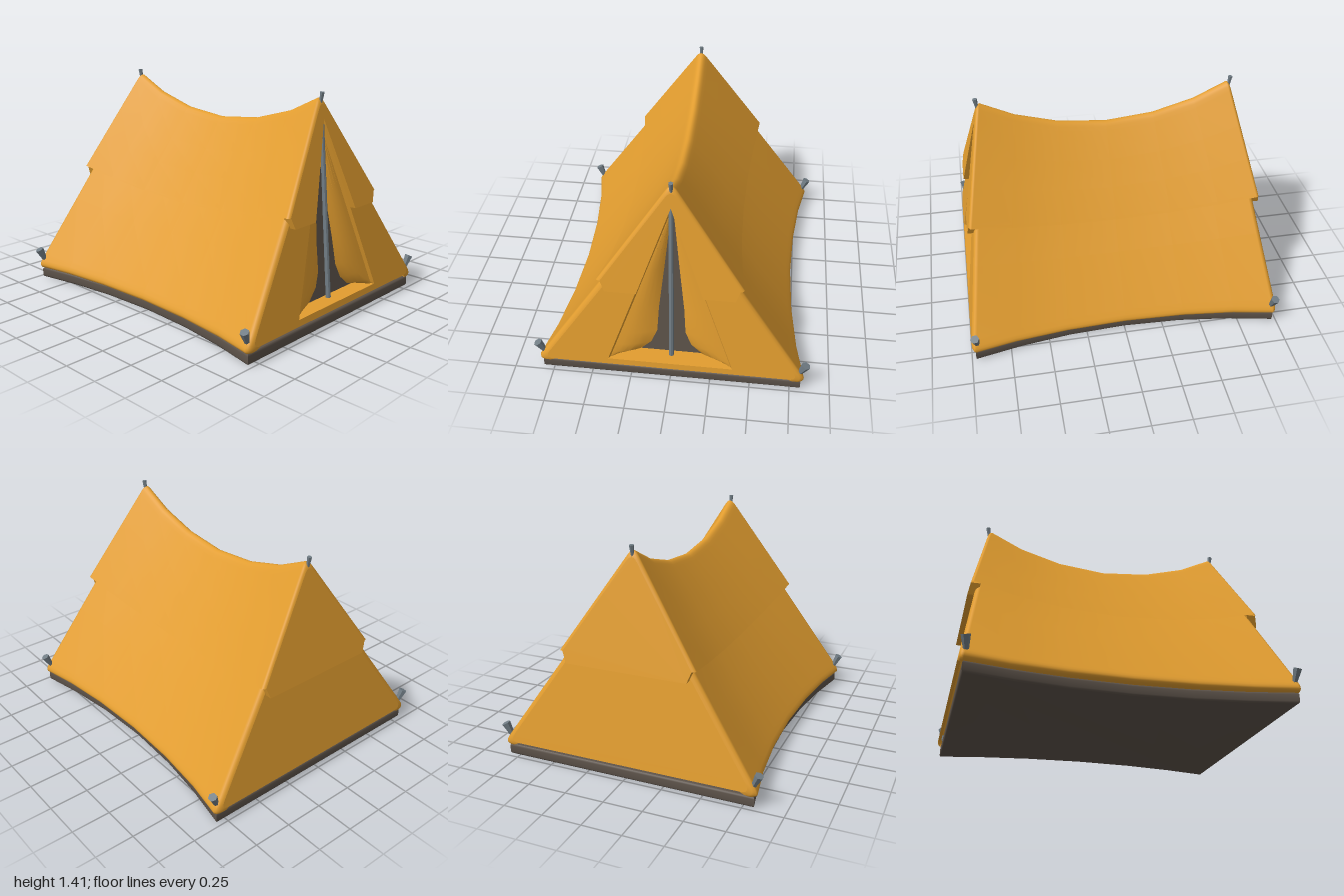
import * as THREE from 'three';
import { toCreasedNormals } from 'three/addons/utils/BufferGeometryUtils.js';

const canvas = new THREE.MeshStandardMaterial({ color: 0xe29d2f, side: THREE.DoubleSide });
const ground = new THREE.MeshStandardMaterial({ color: 0x5c5249, side: THREE.DoubleSide });
const metal = new THREE.MeshStandardMaterial({ color: 0x717d85 });
canvas.name = 'orangeCanvas';
ground.name = 'darkGroundsheet';
metal.name = 'greyMetal';

const STATIONS = [-1, -0.716, -0.383, 0, 0.383, 0.716, 1];
const DOOR = { top: 1.25, bottom: 0.14, half: 0.39 };
const doorX = (y) => DOOR.half * (DOOR.top - y) / (DOOR.top - DOOR.bottom);

// Triangular skins: end size, loss of size at the waist, and leaning ends
const BODY = {
  w: 0.86, y0: 0.07, top: 1.33, dw: 0.1, dy0: 0, dTop: 0.21, r: 0.03, ridge: 0.05,
  endZ: (y) => 1.0 - 0.15 * (y - 0.07),
};
const FLY = {
  w: 0.44, y0: 0.75, top: 1.4, dw: 0.06, dy0: 0.1, dTop: 0.21, r: 0.02, ridge: 0.06, lip: true,
  endZ: (y) => 0.81 + 0.2 * (1.37 - y),
};

function mesh(name, geometry, material) {
  const m = new THREE.Mesh(geometry, material);
  m.name = name;
  return m;
}

// Rounded corner: quadratic curve between points at distance d from corner c
function corner(a, c, b, d, n) {
  const p = c.clone().add(a.clone().sub(c).setLength(d));
  const q = c.clone().add(b.clone().sub(c).setLength(d));
  return new THREE.QuadraticBezierCurve(p, c, q).getPoints(n);
}

// Cross-section at station s, from right hem over the ridge to left hem
function outline(skin, s, inset) {
  const k = 1 - s * s;
  const w = skin.w - skin.dw * k - inset * (skin.lip ? 1.2 : 1.88);
  const y0 = skin.y0 - skin.dy0 * k + (skin.lip ? 0 : inset);
  const top = skin.top - skin.dTop * k - inset * 1.8;
  const R = new THREE.Vector2(w, y0), L = new THREE.Vector2(-w, y0), T = new THREE.Vector2(0, top);
  const right = skin.lip ? [R] : corner(L, R, T, 0.07, 6);
  const ridge = corner(R, T, L, skin.ridge, 6);
  const from = right[right.length - 1];
  for (const t of [0.03, 0.35, 0.65, 0.96]) right.push(from.clone().lerp(ridge[0], t));
  const left = right.map((p) => new THREE.Vector2(-p.x, p.y)).reverse();
  return [...right, ...ridge, ...left];
}

// Lofted skin with rounded end edges
function loft(skin) {
  const rows = [];
  const endRow = (sign, a) => {
    const pts = outline(skin, 1, skin.r * (1 - Math.cos(a)));
    rows.push(pts.map((p) => [p.x, p.y, sign * (skin.endZ(p.y) - skin.r * (1 - Math.sin(a)))]));
  };
  const angles = [0, Math.PI / 6, Math.PI / 3, Math.PI / 2];
  [...angles].reverse().forEach((a) => endRow(-1, a));
  for (const s of STATIONS.slice(1, -1)) {
    const ends = outline(skin, 1, 0);
    rows.push(outline(skin, s, 0).map((p, j) => [p.x, p.y, s * skin.endZ(ends[j].y)]));
  }
  angles.forEach((a) => endRow(1, a));
  return grid(rows);
}

function grid(rows) {
  const n = rows[0].length, index = [];
  for (let i = 0; i < rows.length - 1; i++) {
    for (let j = 0; j < n - 1; j++) {
      const a = i * n + j, b = a + 1, d = a + n, c = d + 1;
      index.push(a, b, c, a, c, d);
    }
  }
  const g = new THREE.BufferGeometry();
  g.setAttribute('position', new THREE.Float32BufferAttribute(rows.flat(2), 3));
  g.setIndex(index);
  g.computeVertexNormals();
  return g;
}

// Flat panel extruded backwards and sheared onto the leaning end
function leaningPanel(shape, depth, endZ) {
  const g = new THREE.ExtrudeGeometry(shape, { depth, bevelEnabled: false });
  const p = g.attributes.position;
  for (let i = 0; i < p.count; i++) p.setZ(i, p.getZ(i) - depth + endZ(p.getY(i)));
  g.computeVertexNormals();
  return g;
}

function bodyEnd(withDoor) {
  const shape = new THREE.Shape(outline(BODY, 1, BODY.r));
  if (withDoor) {
    shape.holes.push(new THREE.Path([
      new THREE.Vector2(-DOOR.half, DOOR.bottom), new THREE.Vector2(0, DOOR.top),
      new THREE.Vector2(DOOR.half, DOOR.bottom)]));
  }
  return leaningPanel(shape, withDoor ? 0.12 : 0.02, BODY.endZ);
}

function flyEnd(withDoor) {
  const y = 0.68, pts = [new THREE.Vector2(0.39, y), ...outline(FLY, 1, FLY.r), new THREE.Vector2(-0.39, y)];
  if (withDoor) {
    pts.push(new THREE.Vector2(-doorX(y), y), new THREE.Vector2(0, DOOR.top), new THREE.Vector2(doorX(y), y));
  }
  return leaningPanel(new THREE.Shape(pts), 0.06, FLY.endZ);
}

// Door flap: recessed at the seam, curling inwards to the opening
function doorFlap(side) {
  const edge = [[0.14, 0.34], [0.16, 0.27], [0.18, 0.19], [0.24, 0.125], [0.33, 0.088],
    [0.5, 0.078], [0.8, 0.045], [1.2, 0.004]];
  const rows = edge.map(([y, inner]) => {
    const seam = doorX(y), start = seam - 0.012, z = BODY.endZ(y);
    const row = [[side * seam, y, z]];
    for (let k = 0; k <= 5; k++) {
      const t = k / 5;
      row.push([side * THREE.MathUtils.lerp(start, inner, t), y, z - 0.02 - 0.05 * t * t]);
    }
    return side > 0 ? row.reverse() : row;
  });
  return toCreasedNormals(grid(rows.reverse()), 0.7);
}

// Tapered rod between two points
function rod(name, a, b, rBottom, rTop, sides) {
  const from = new THREE.Vector3(...a), to = new THREE.Vector3(...b), dir = to.clone().sub(from);
  const m = mesh(name, toCreasedNormals(new THREE.CylinderGeometry(rTop, rBottom, dir.length(), sides), 0.6), metal);
  m.position.copy(from).add(to).multiplyScalar(0.5);
  m.quaternion.setFromUnitVectors(new THREE.Vector3(0, 1, 0), dir.normalize());
  return m;
}

function groundsheet() {
  const bevel = 0.015;
  const side = STATIONS.map((s) => new THREE.Vector2(0.7 + 0.115 * s * s - bevel, s * (0.975 - bevel)));
  const other = side.map((p) => new THREE.Vector2(-p.x, p.y)).reverse();
  const g = new THREE.ExtrudeGeometry(new THREE.Shape([...side, ...other]), {
    depth: 0.04, bevelThickness: bevel, bevelSize: bevel, bevelSegments: 3,
  });
  g.rotateX(-Math.PI / 2);
  g.translate(0, bevel, 0);
  return toCreasedNormals(g, 0.7);
}

export function createModel() {
  const tent = new THREE.Group();
  tent.name = 'tent';
  tent.add(mesh('groundsheet', groundsheet(), ground));
  tent.add(mesh('tentBody', loft(BODY), canvas));
  tent.add(mesh('flysheet', loft(FLY), canvas));

  // End walls, the front one with the doorway
  for (const front of [true, false]) {
    const name = front ? 'front' : 'back';
    const wall = mesh(name + 'Wall', bodyEnd(front), canvas);
    const fly = mesh(name + 'Flysheet', flyEnd(front), canvas);
    if (!front) wall.rotation.y = fly.rotation.y = Math.PI;
    tent.add(wall, fly);
  }

  // Doorway
  const dark = new THREE.Shape([new THREE.Vector2(-0.4, 0.13), new THREE.Vector2(0.4, 0.13), new THREE.Vector2(0, 1.26)]);
  tent.add(mesh('doorInterior', leaningPanel(dark, 0.005, (y) => BODY.endZ(y) - 0.112), ground));
  for (const side of [1, -1]) tent.add(mesh(side > 0 ? 'leftFlap' : 'rightFlap', doorFlap(side), canvas));
  tent.add(rod('doorPole', [0, 0.14, 0.91], [0, 1.26, 0.815], 0.016, 0.014, 8));

  // Ridge pole tips and corner pegs
  for (const z of [1, -1]) {
    tent.add(rod('ridgeTip', [0, 1.34, z * 0.805], [0, 1.41, z * 0.815], 0.009, 0.015, 6));
    for (const x of [1, -1]) {
      tent.add(rod('cornerPeg', [x * 0.795, 0.11, z * 0.955], [x * 0.84, 0.21, z * 0.968], 0.012, 0.028, 6));
    }
  }
  return tent;
}
